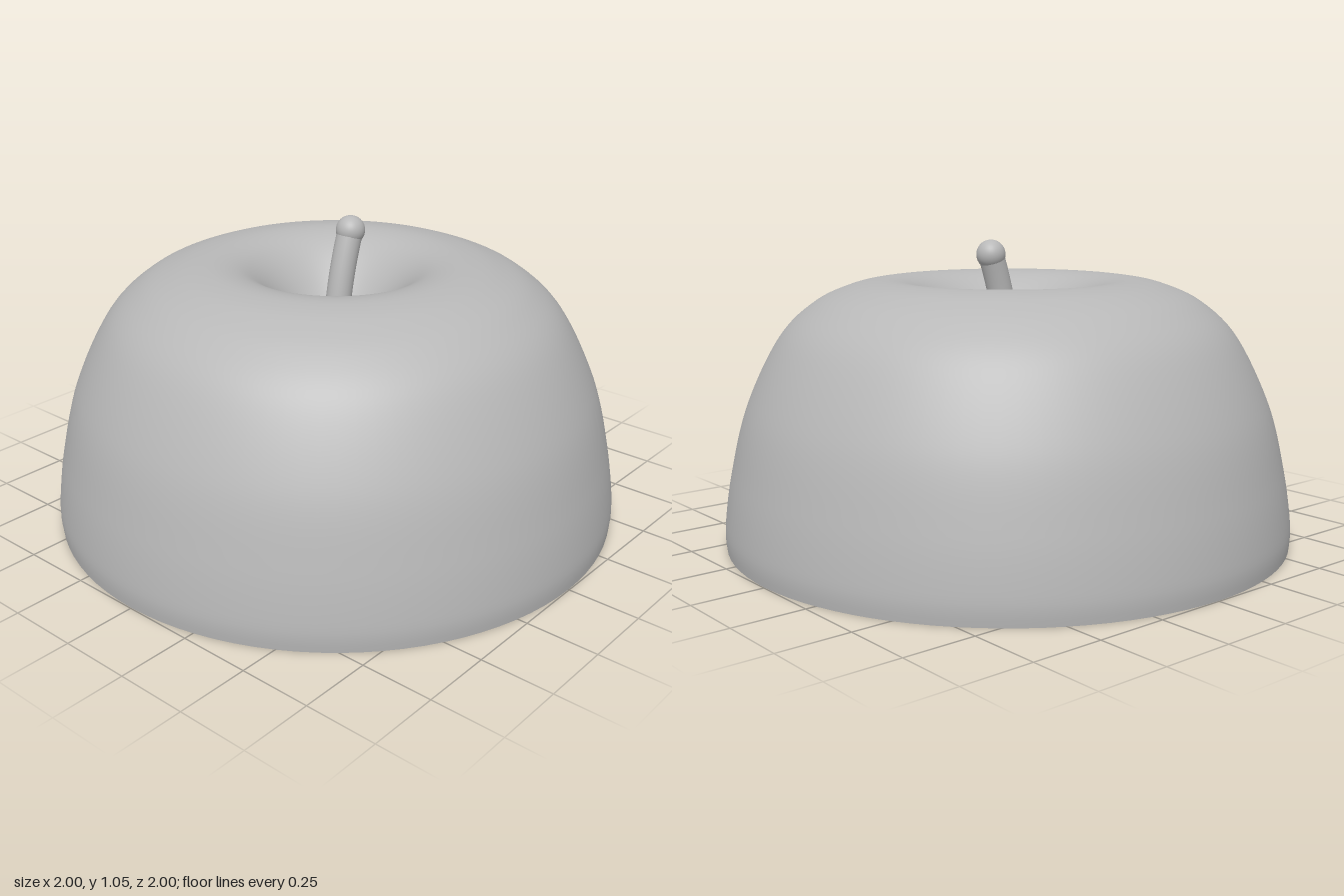
import * as THREE from 'three';

const WALL = 0.038;

// Outer half-profile [radius, height], from the open rim up over the shoulder into the dimple
const PROFILE = [
  [0.997, 0], [1, 0.08], [0.973, 0.26], [0.914, 0.49], [0.8, 0.72], [0.68, 0.837],
  [0.56, 0.893], [0.47, 0.913], [0.4, 0.915], [0.33, 0.898], [0.27, 0.86], [0.21, 0.803],
  [0.15, 0.737], [0.1, 0.692], [0.05, 0.668], [0, 0.66],
];

export function createModel() {
  const group = new THREE.Group();
  const grey = new THREE.MeshStandardMaterial({ color: 0xb8b8b8 });
  grey.name = 'plain grey';

  const add = (name, geometry) => {
    const mesh = new THREE.Mesh(geometry, grey);
    mesh.name = name;
    group.add(mesh);
    return mesh;
  };

  // Smooth outer shell
  const curve = new THREE.SplineCurve(PROFILE.map(([r, y]) => new THREE.Vector2(r, y)));
  const outer = curve.getSpacedPoints(72);
  outer.forEach((p) => { p.x = Math.max(p.x, 0); });
  outer[0].y = 0;
  outer[72].x = 0;
  add('outerShell', new THREE.LatheGeometry(outer, 96));

  // Inner wall: the same profile moved inwards by the wall thickness, run downwards to face in
  const inner = outer.map((p, i) => {
    const t = curve.getTangentAt(i / 72);
    return new THREE.Vector2(Math.max(p.x - t.y * WALL, 0), p.y + t.x * WALL);
  });
  inner[0].set(outer[0].x - WALL, 0);
  inner[72].set(0, outer[72].y - WALL);
  add('innerShell', new THREE.LatheGeometry(inner.slice().reverse(), 96));

  // Flat rim facing down
  const rim = new THREE.RingGeometry(inner[0].x, outer[0].x, 96);
  rim.rotateX(Math.PI / 2);
  add('rim', rim);

  // Curved stem leaning to the left, with a round tip
  const path = new THREE.QuadraticBezierCurve3(
    new THREE.Vector3(0, 0.64, 0),
    new THREE.Vector3(0.01, 0.82, 0),
    new THREE.Vector3(0.077, 1.003, 0),
  );
  add('stem', new THREE.TubeGeometry(path, 20, 0.045, 24, false));
  add('stemTip', new THREE.SphereGeometry(0.051, 32, 20)).position.set(0.077, 1.004, 0);

  return group;
}
